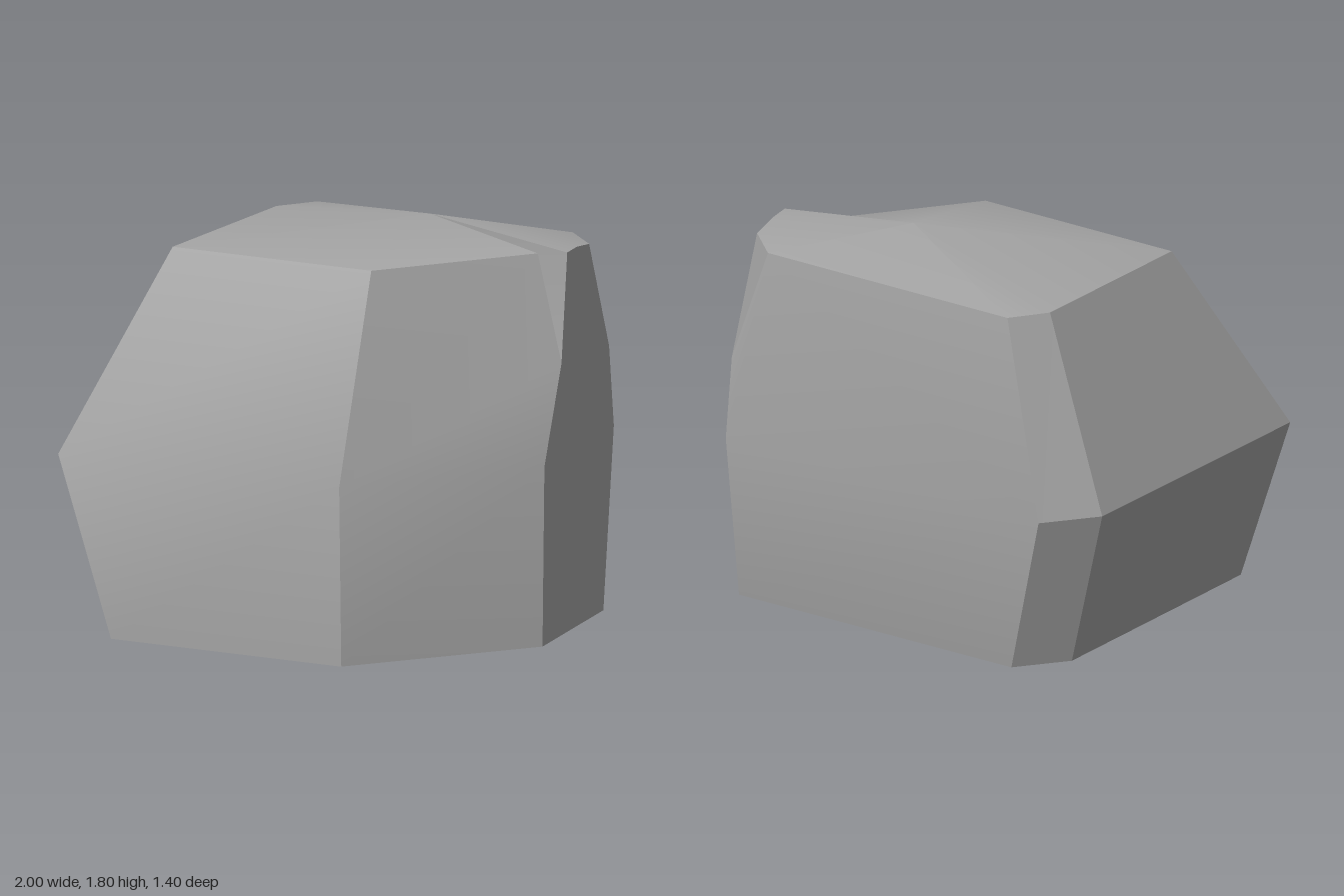
import * as THREE from 'three';
import { toCreasedNormals } from 'three/addons/utils/BufferGeometryUtils.js';

// A level cross-section: corners as [x, z], counter-clockwise seen from above
const ring = (y, corners) => corners.map(([x, z]) => [x, y, z]);

export function createModel() {
  const stone = new THREE.MeshStandardMaterial({ color: 0xa3a3a3 });
  stone.name = 'grey stone';

  // Cross-sections: front left, front right, side front, side back, back, chamfer
  const base = ring(0, [[-0.75, 0.7], [0.34, 0.7], [1, 0.05], [1, -0.59], [-0.37, -0.58], [-0.56, -0.39]]);
  const belly = ring(0.8, [[-1, 0.7], [0.33, 0.7], [1, 0.03], [1, -0.7], [-0.58, -0.7], [-0.78, -0.5]]);
  const rim = ring(1.68, [[-0.62, 0.34], [0.32, 0.34], [0.86, -0.21], [0.86, -0.58], [-0.35, -0.58], [-0.48, -0.44]]);
  const apex = [0.35, 1.8, -0.21];

  // Upper corners of the flat cut side
  const notchFoot = [1, 1.22, -0.15];
  const notchTop = [1, 1.7, -0.21];
  const ridge = [1, 1.7, -0.31];
  const chipTop = [1, 1.68, -0.44];
  const chipFoot = [1, 1.17, -0.65];

  const positions = [];
  const face = (...p) => {
    for (let i = 1; i < p.length - 1; i++) positions.push(...p[0], ...p[i], ...p[i + 1]);
  };

  // Underside and lower walls
  face(...[...base].reverse());
  for (let i = 0; i < 6; i++) {
    const j = (i + 1) % 6;
    face(base[i], base[j], belly[j], belly[i]);
  }

  // Upper walls: front, back chamfer and left side
  for (const i of [0, 4, 5]) {
    const j = (i + 1) % 6;
    face(belly[i], belly[j], rim[j], rim[i]);
  }
  // Slanted front, flat cut side and back
  face(belly[1], belly[2], notchFoot, rim[2], rim[1]);
  face(notchFoot, belly[2], belly[3], chipFoot, chipTop, ridge, notchTop);
  face(rim[3], chipFoot, belly[3], belly[4], rim[4]);

  // Chipped back corner and the notch beside the ridge
  face(chipFoot, rim[3], chipTop);
  face(notchFoot, notchTop, rim[2]);
  face(rim[2], notchTop, apex);

  // Low peaked top
  face(apex, notchTop, ridge, chipTop, rim[3], rim[4], rim[5], rim[0], rim[1], rim[2]);

  const geometry = new THREE.BufferGeometry();
  geometry.setAttribute('position', new THREE.Float32BufferAttribute(positions, 3));
  const rock = new THREE.Mesh(toCreasedNormals(geometry, Math.PI / 6), stone);
  rock.name = 'rock';

  const group = new THREE.Group();
  group.name = 'boulder';
  group.add(rock);
  return group;
}
